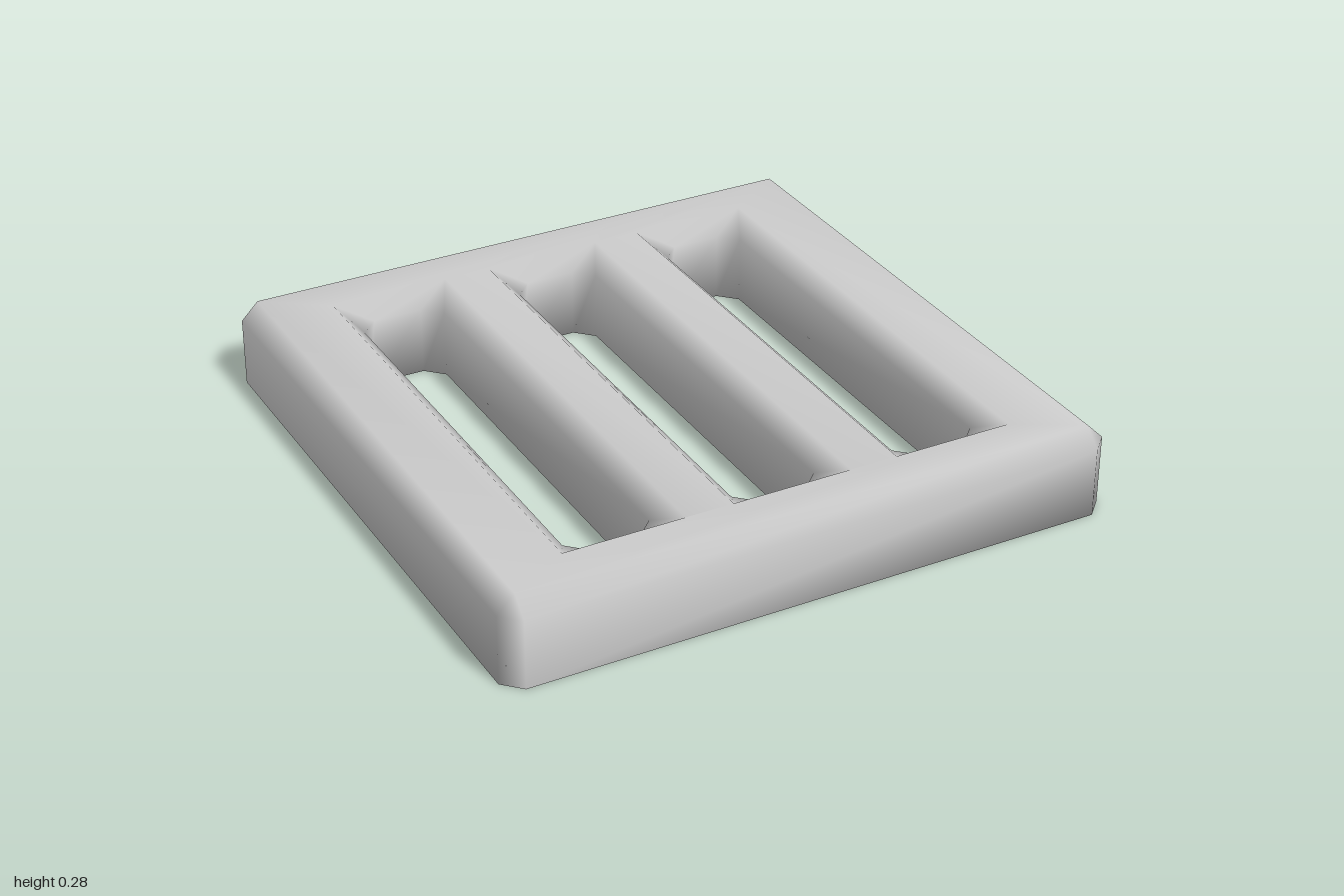
import * as THREE from 'three';
import { mergeVertices } from 'three/addons/utils/BufferGeometryUtils.js';

const HEIGHT = 0.283;
const BEVEL = 0.057;

// Rectangle with cut corners, counter-clockwise (v runs towards the back)
function cutRect(x0, x1, v0, v1, c) {
  return [
    [x0 + c, v0], [x1 - c, v0], [x1, v0 + c], [x1, v1 - c],
    [x1 - c, v1], [x0 + c, v1], [x0, v1 - c], [x0, v0 + c],
  ].map(([x, v]) => new THREE.Vector2(x, v));
}

// Sharp rectangle listed with doubled corners, so it pairs with cutRect
function sharpRect(x0, x1, v0, v1) {
  return [
    [x0, v0], [x1, v0], [x1, v0], [x1, v1],
    [x1, v1], [x0, v1], [x0, v1], [x0, v0],
  ].map(([x, v]) => new THREE.Vector2(x, v));
}

function grateGeometry() {
  const b = BEVEL;
  // Outer edge shrinks towards the top, slots widen
  const loops = [{ wall: cutRect(-1, 1, -1, 1, b), top: sharpRect(b - 1, 1 - b, b - 1, 1 - b) }];
  for (const x of [-0.547, -0.002, 0.543]) {
    const [x0, x1, v0, v1] = [x - 0.138, x + 0.138, -0.77, 0.742];
    loops.push({
      wall: cutRect(x0, x1, v0, v1, b).reverse(),
      top: sharpRect(x0 - b, x1 + b, v0 - b, v1 + b).reverse(),
    });
  }

  const positions = [];
  const tri = (...corners) => {
    for (const [p, y] of corners) positions.push(p.x, y, -p.y);
  };
  const band = (low, y0, high, y1) => {
    low.forEach((a, i) => {
      const j = (i + 1) % low.length;
      if (!a.equals(low[j])) tri([a, y0], [low[j], y0], [high[j], y1]);
      if (!high[i].equals(high[j])) tri([a, y0], [high[j], y1], [high[i], y1]);
    });
  };
  const cap = (rings, y, flip) => {
    const points = rings.flat();
    const faces = THREE.ShapeUtils.triangulateShape(rings[0], rings.slice(1));
    for (const face of faces) {
      const corners = face.map((k) => [points[k], y]);
      tri(...(flip ? corners.reverse() : corners));
    }
  };

  // Upright walls and sloping top edges
  for (const { wall, top } of loops) {
    band(wall, 0, wall, HEIGHT - b);
    band(wall, HEIGHT - b, top, HEIGHT);
  }
  // Flat underside and top
  cap(loops.map((l) => l.wall), 0, true);
  cap(loops.map((l) => l.top.filter((p, i, r) => !p.equals(r[(i + 1) % r.length]))), HEIGHT, false);

  const soup = new THREE.BufferGeometry();
  soup.setAttribute('position', new THREE.Float32BufferAttribute(positions, 3));
  // Shared corners give soft shading over the edges
  const geometry = mergeVertices(soup, 1e-4);
  geometry.computeVertexNormals();
  return geometry;
}

export function createModel() {
  const group = new THREE.Group();
  group.name = 'slottedGrate';
  const grate = new THREE.Mesh(grateGeometry(), new THREE.MeshStandardMaterial({ color: 0xcccccc }));
  grate.name = 'gratePlate';
  group.add(grate);
  return group;
}
